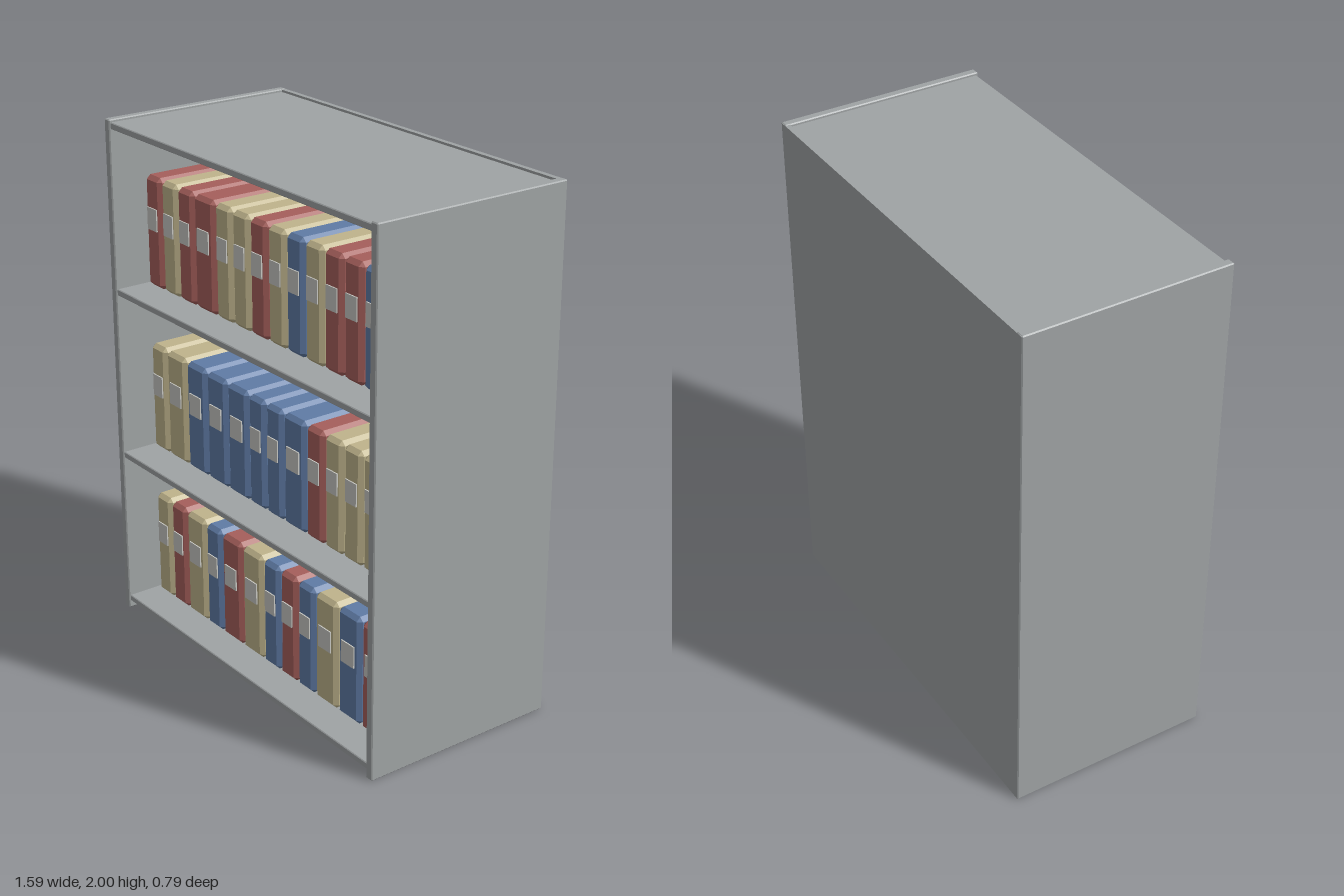
import * as THREE from 'three';
import { ConvexGeometry } from 'three/addons/geometries/ConvexGeometry.js';

// Box with all edges cut at 45 degrees, centred on the origin
function chamferBox(w, h, d, c) {
  const pts = [];
  for (const sx of [-1, 1]) for (const sy of [-1, 1]) for (const sz of [-1, 1]) {
    const x = w / 2, y = h / 2, z = d / 2;
    pts.push(
      new THREE.Vector3(sx * x, sy * (y - c), sz * (z - c)),
      new THREE.Vector3(sx * (x - c), sy * y, sz * (z - c)),
      new THREE.Vector3(sx * (x - c), sy * (y - c), sz * z));
  }
  return new ConvexGeometry(pts);
}

function material(name, color) {
  const m = new THREE.MeshStandardMaterial({ color });
  m.name = name;
  return m;
}

export function createModel() {
  const model = new THREE.Group();
  model.name = 'binderCabinet';

  const grey = material('cabinetGrey', 0x9fa3a4);
  const white = material('labelWhite', 0xc8c8c3);
  const covers = {
    R: material('binderRed', 0xa55f5b),
    Y: material('binderCream', 0xbfb48c),
    B: material('binderBlue', 0x607ca6),
  };

  function add(parent, name, geometry, mat, x, y, z) {
    const mesh = new THREE.Mesh(geometry, mat);
    mesh.name = name;
    mesh.position.set(x, y, z);
    parent.add(mesh);
  }

  // Cabinet shell: two sides and a back, with the top and floor slightly recessed
  const cabinet = new THREE.Group();
  cabinet.name = 'cabinet';
  model.add(cabinet);
  const side = chamferBox(0.033, 2, 0.794, 0.004);
  add(cabinet, 'leftSide', side, grey, 0.7805, 1, 0);
  add(cabinet, 'rightSide', side, grey, -0.7805, 1, 0);
  add(cabinet, 'back', new THREE.BoxGeometry(1.586, 1.996, 0.02), grey, 0, 1, -0.387);

  const panel = chamferBox(1.534, 0.025, 0.77, 0.003);
  const panels = { floor: 0.0425, lowerShelf: 0.67, upperShelf: 1.3375, top: 1.977 };
  for (const [name, y] of Object.entries(panels)) add(cabinet, name, panel, grey, 0, y, 0.006);

  // Binders: lower case is a narrow spine, upper case a wide one
  const height = 0.43, depth = 0.55;
  const sizes = {
    narrow: { pitch: 0.1065, body: chamferBox(0.099, height, depth, 0.016), label: new THREE.BoxGeometry(0.06, 0.085, 0.006) },
    wide: { pitch: 0.134, body: chamferBox(0.126, height, depth, 0.016), label: new THREE.BoxGeometry(0.072, 0.085, 0.006) },
  };
  const rows = [
    { name: 'lowerBinders', base: 0.06, spines: 'yrYbRYbrbYBR' },
    { name: 'middleBinders', base: 0.69, spines: 'yYBBBbbBryyy' },
    { name: 'upperBinders', base: 1.355, spines: 'ryrRyyrybyrrb' },
  ];
  for (const { name, base, spines } of rows) {
    const row = new THREE.Group();
    row.name = name;
    model.add(row);
    let x = -0.736;
    for (const s of spines) {
      const key = s.toUpperCase();
      const { pitch, body, label } = s === key ? sizes.wide : sizes.narrow;
      const cx = x + pitch / 2;
      add(row, 'binder', body, covers[key], cx, base + height / 2, 0);
      add(row, 'spineLabel', label, white, cx, base + 0.2675, depth / 2 + 0.002);
      x += pitch;
    }
  }
  return model;
}
